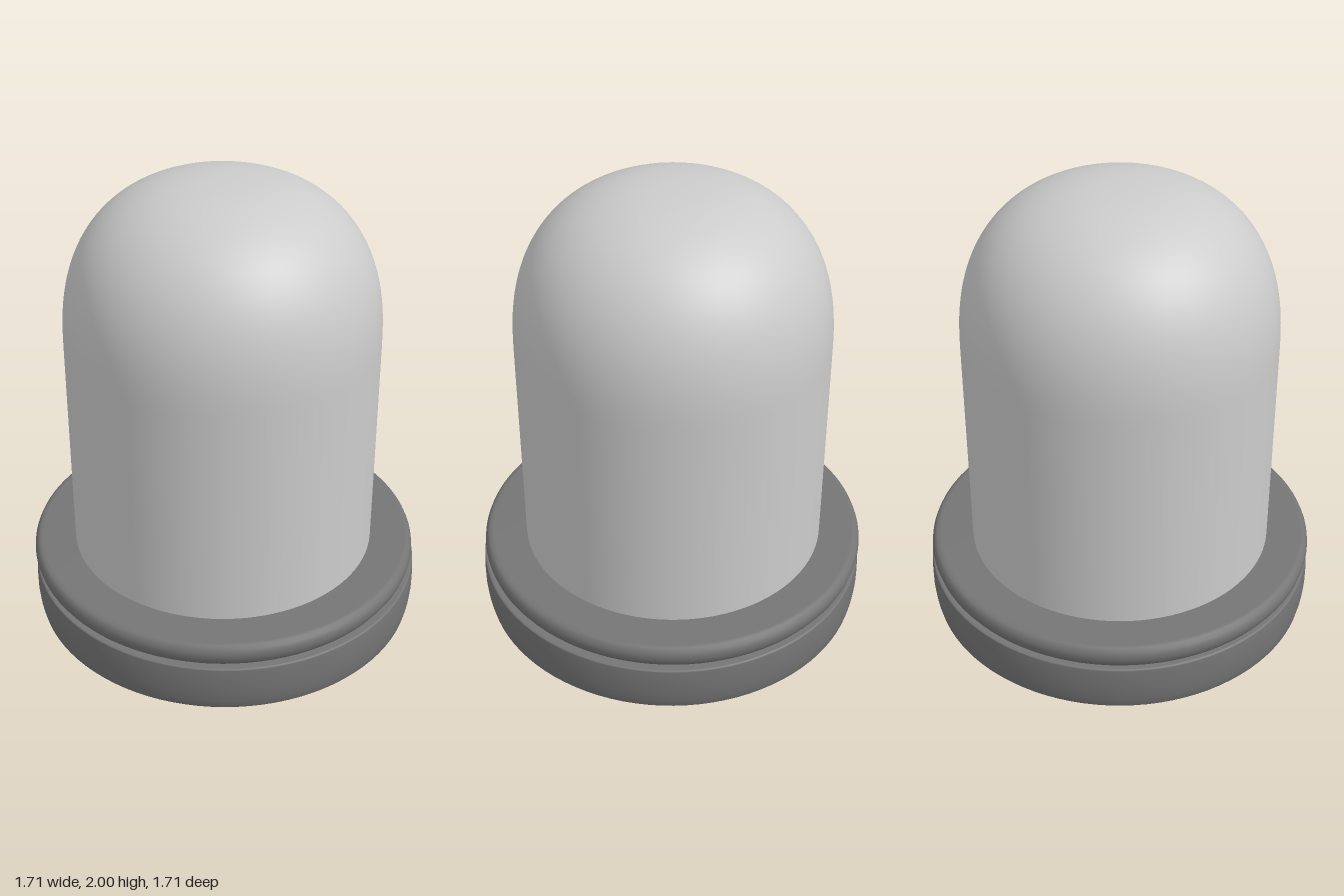
import * as THREE from 'three';

const SEGMENTS = 96;

// Smooth turned part from [radius, height] pairs, listed bottom to top
function turned(name, profile, color, x = 0, z = 0) {
  const points = profile.map(([r, y]) => new THREE.Vector2(r, y));
  const mesh = new THREE.Mesh(
    new THREE.LatheGeometry(points, SEGMENTS),
    new THREE.MeshStandardMaterial({ color })
  );
  mesh.name = name;
  mesh.position.set(x, 0, z);
  return mesh;
}

export function createModel() {
  const group = new THREE.Group();
  group.name = 'domedCap';
  const dark = 0x757575;

  // Base disc with a softened lower edge and crisp upper edge
  group.add(turned('base', [
    [0, 0], [0.78, 0], [0.835, 0.003], [0.842, 0.012], [0.85, 0.05], [0.855, 0.1],
    [0.855, 0.16], [0.851, 0.214], [0.848, 0.219], [0.84, 0.22], [0, 0.22],
  ], dark));

  // Rounded flange resting on the base, with a narrow groove below it
  group.add(turned('flange', [
    [0.76, 0.215], [0.815, 0.222], [0.829, 0.235], [0.842, 0.255], [0.849, 0.28],
    [0.847, 0.3], [0.84, 0.317], [0.828, 0.328], [0.81, 0.33], [0, 0.33],
  ], dark, -0.005, 0.005));

  // Straight wall blending into a superelliptic crown
  const radius = 0.664, shoulder = 1.3, rise = 0.7, power = 2 / 2.5;
  const profile = [[radius, 0.32], [radius, 0.8]];
  const steps = 40;
  for (let i = 0; i <= steps; i++) {
    const a = (i / steps) * Math.PI / 2;
    const r = i === steps ? 0 : radius * Math.cos(a) ** power;
    profile.push([r, shoulder + rise * Math.sin(a) ** power]);
  }
  group.add(turned('dome', profile, 0xcccccc, -0.008, 0.006));

  return group;
}
